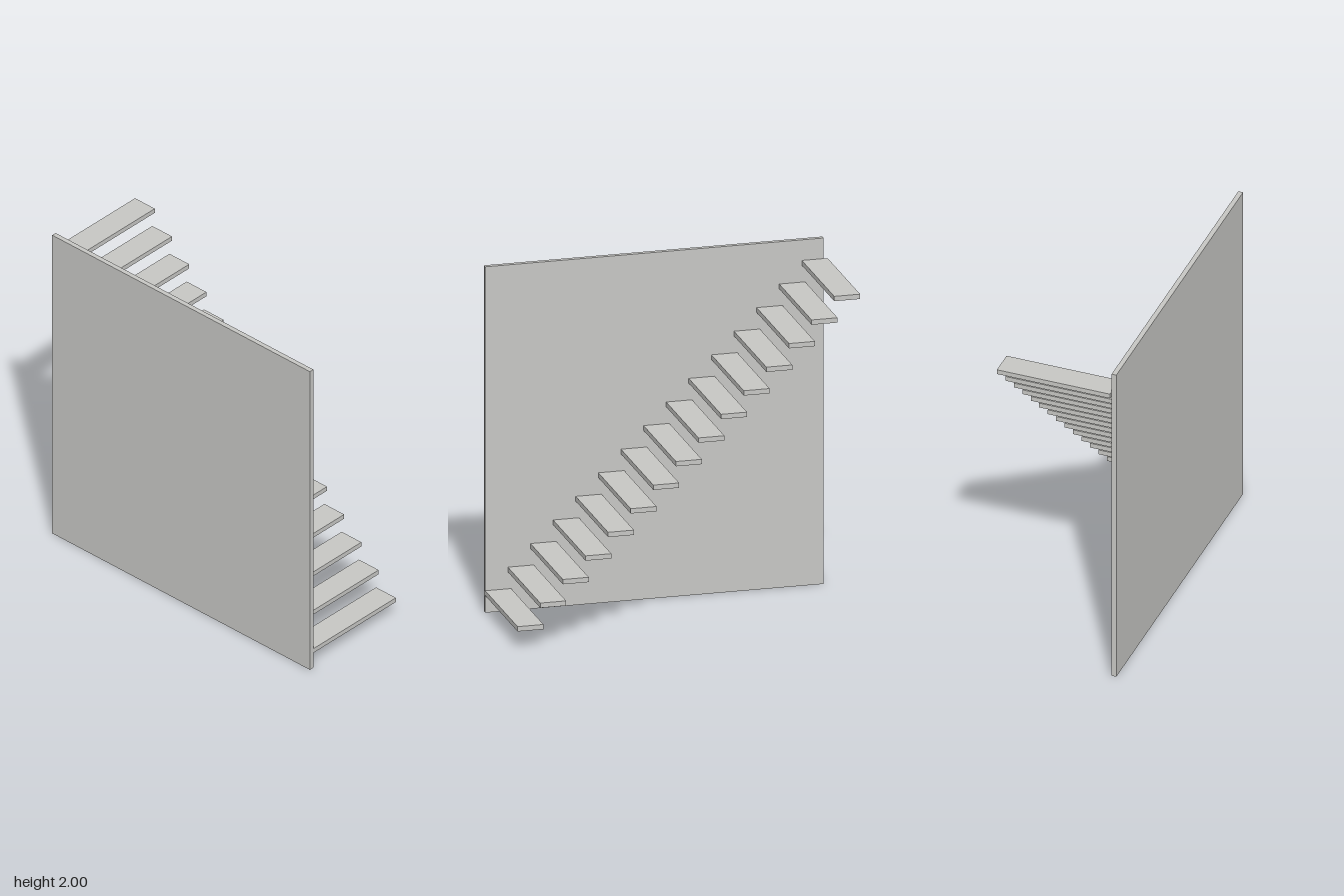
import * as THREE from 'three';

export function createModel() {
  const group = new THREE.Group();
  const concrete = new THREE.MeshStandardMaterial({ color: 0xc7c7c4 });

  function addBox(name, [x0, x1], [y0, y1], [z0, z1]) {
    const mesh = new THREE.Mesh(new THREE.BoxGeometry(x1 - x0, y1 - y0, z1 - z0), concrete);
    mesh.position.set((x0 + x1) / 2, (y0 + y1) / 2, (z0 + z1) / 2);
    mesh.name = name;
    group.add(mesh);
  }

  // Supporting wall on the right-hand side
  addBox('wall', [-0.348, -0.32], [0, 2], [-0.955, 0.978]);

  // Floating treads climbing towards the back
  const count = 15, thickness = 0.028, depth = 0.148;
  for (let i = 0; i < count; i++) {
    const t = i / (count - 1);
    const y = THREE.MathUtils.lerp(0.113, 1.867, t);
    const z = THREE.MathUtils.lerp(0.904, -0.904, t);
    addBox(`tread${i + 1}`, [-0.32, 0.348],
      [y - thickness / 2, y + thickness / 2], [z - depth / 2, z + depth / 2]);
  }

  return group;
}
